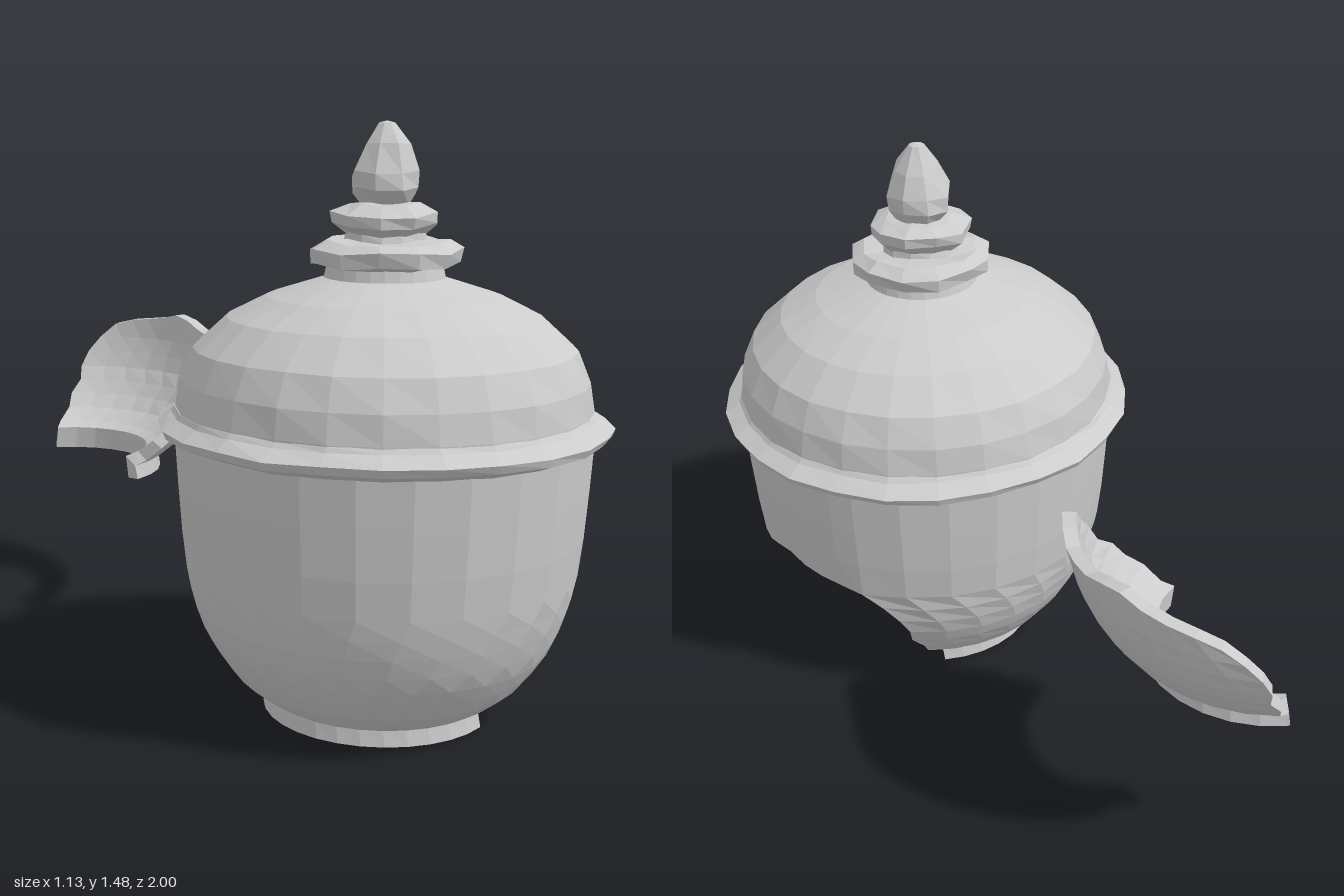
import * as THREE from 'three';

const material = new THREE.MeshStandardMaterial({ color: 0xcccccc, flatShading: true });

// Wall rows: outer y, outer radius, inner y, inner radius, break start and end angle (degrees)
const ROWS = [
  [0.005, 0.295, 0.005, 0.26, -50, 86],
  [0.045, 0.29, 0.07, 0.255, -49, 87],
  [0.06, 0.315, 0.085, 0.285, -47, 83],
  [0.10, 0.365, 0.12, 0.335, -42, 82],
  [0.145, 0.40, 0.16, 0.37, -41, 76],
  [0.19, 0.43, 0.20, 0.397, -37, 73],
  [0.235, 0.452, 0.24, 0.42, -37, 66],
  [0.285, 0.47, 0.288, 0.437, -34, 63],
  [0.335, 0.483, 0.335, 0.45, -29, 58],
  [0.385, 0.492, 0.385, 0.458, -23, 52],
  [0.48, 0.503, 0.48, 0.47, -23, 52],
  [0.60, 0.512, 0.60, 0.48, -23, 52],
  [0.73, 0.52, 0.73, 0.488, -23, 52],
];
const BREAK_COLS = 10, COLS = 30, BREAK_ROWS = 9;
// Ragged upper edge of the break
const JAG = [-0.01, 0.005, 0.012, 0.02, 0.034, 0.022, 0.002, -0.006, -0.012, 0.004, 0.004];

// Point on the wall at a column and row, outer or inner face
function wallPoint(col, row, inner) {
  const c = col % COLS;
  const [yo, ro, yi, ri, a0, a1] = ROWS[row];
  const deg = c <= BREAK_COLS
    ? a0 + (a1 - a0) * c / BREAK_COLS
    : a1 + (360 + a0 - a1) * (c - BREAK_COLS) / (COLS - BREAK_COLS);
  const a = THREE.MathUtils.degToRad(deg);
  const r = inner ? ri : ro;
  const jag = row === BREAK_ROWS && c <= BREAK_COLS ? JAG[c] : 0;
  return [r * Math.cos(a), (inner ? yi : yo) + jag, r * Math.sin(a)];
}

// Thick wall from the cells that keep(col, row) selects, closed along every open edge
function wallGeometry(keep) {
  const pos = [];
  const quad = (a, b, c, d) => pos.push(...a, ...b, ...c, ...a, ...c, ...d);
  const has = (c, r) => r >= 0 && r < ROWS.length - 1 && keep((c + COLS) % COLS, r);
  for (let c = 0; c < COLS; c++) {
    for (let r = 0; r < ROWS.length - 1; r++) {
      if (!has(c, r)) continue;
      const corners = [[c, r], [c, r + 1], [c + 1, r + 1], [c + 1, r]];
      const o = corners.map(([x, y]) => wallPoint(x, y, false));
      const i = corners.map(([x, y]) => wallPoint(x, y, true));
      quad(...o);
      quad(i[3], i[2], i[1], i[0]);
      const neighbours = [[c - 1, r], [c, r + 1], [c + 1, r], [c, r - 1]];
      neighbours.forEach(([x, y], k) => {
        const n = (k + 1) % 4;
        if (!has(x, y)) quad(i[k], i[n], o[n], o[k]);
      });
    }
  }
  const geometry = new THREE.BufferGeometry();
  geometry.setAttribute('position', new THREE.Float32BufferAttribute(pos, 3));
  geometry.computeVertexNormals();
  return geometry;
}

// Lathe with a slight hand-carved unevenness
function turned(name, profile, sides, wobble, phase = 0) {
  const geometry = new THREE.LatheGeometry(profile.map(([r, y]) => new THREE.Vector2(r, y)), sides, phase);
  const p = geometry.attributes.position;
  for (let k = 0; k < p.count; k++) {
    const x = p.getX(k), y = p.getY(k), z = p.getZ(k);
    const s = 1 + wobble * Math.sin(31 * x + 17 * z + 40 * y);
    const dy = Math.hypot(x, z) > 0.03 ? wobble * 0.2 * Math.sin(23 * z - 29 * x) : 0;
    p.setXYZ(k, x * s, y + dy, z * s);
  }
  geometry.computeVertexNormals();
  const mesh = new THREE.Mesh(geometry, material);
  mesh.name = name;
  return mesh;
}

export function createModel() {
  const model = new THREE.Group();
  model.name = 'brokenUrn';
  const urn = new THREE.Group();
  urn.name = 'urn';
  urn.position.z = 0.43;
  model.add(urn);

  // Body with the broken opening, and the matching fragment behind it
  const inBreak = (c, r) => c < BREAK_COLS && r < BREAK_ROWS;
  const body = new THREE.Mesh(wallGeometry((c, r) => !inBreak(c, r)), material);
  body.name = 'body';
  urn.add(body);
  const shard = new THREE.Mesh(wallGeometry(inBreak), material);
  shard.name = 'brokenShard';
  shard.position.set(0, 0.45, -0.73);
  model.add(shard);

  // Domed lid: hollow underside, then the outer dome
  urn.add(turned('lid', [
    [0, 1.07], [0.2, 1.055], [0.36, 0.99], [0.44, 0.92], [0.475, 0.84], [0.485, 0.74],
    [0.515, 0.76], [0.515, 0.79], [0.505, 0.86], [0.472, 0.935], [0.39, 1.01],
    [0.29, 1.06], [0.15, 1.105], [0.14, 1.15], [0, 1.15],
  ], 26, 0.003));

  // Rim around the lid
  urn.add(turned('rim', [
    [0.485, 0.735], [0.52, 0.715], [0.555, 0.73], [0.565, 0.75], [0.525, 0.775], [0.515, 0.788], [0.485, 0.78],
  ], 26, 0.008));

  // Stacked rings and pointed finial
  urn.add(turned('lowerRing', [
    [0, 1.13], [0.14, 1.135], [0.18, 1.14], [0.188, 1.175], [0.155, 1.195], [0.1, 1.195], [0.095, 1.215], [0, 1.22],
  ], 12, 0.03));
  urn.add(turned('upperRing', [
    [0, 1.2], [0.09, 1.205], [0.13, 1.235], [0.135, 1.262], [0.09, 1.282], [0, 1.288],
  ], 10, 0.035, 0.2));
  urn.add(turned('finial', [
    [0, 1.27], [0.055, 1.275], [0.085, 1.315], [0.084, 1.355], [0.058, 1.42], [0.02, 1.477], [0, 1.482],
  ], 8, 0.05, 0.3));

  return model;
}
